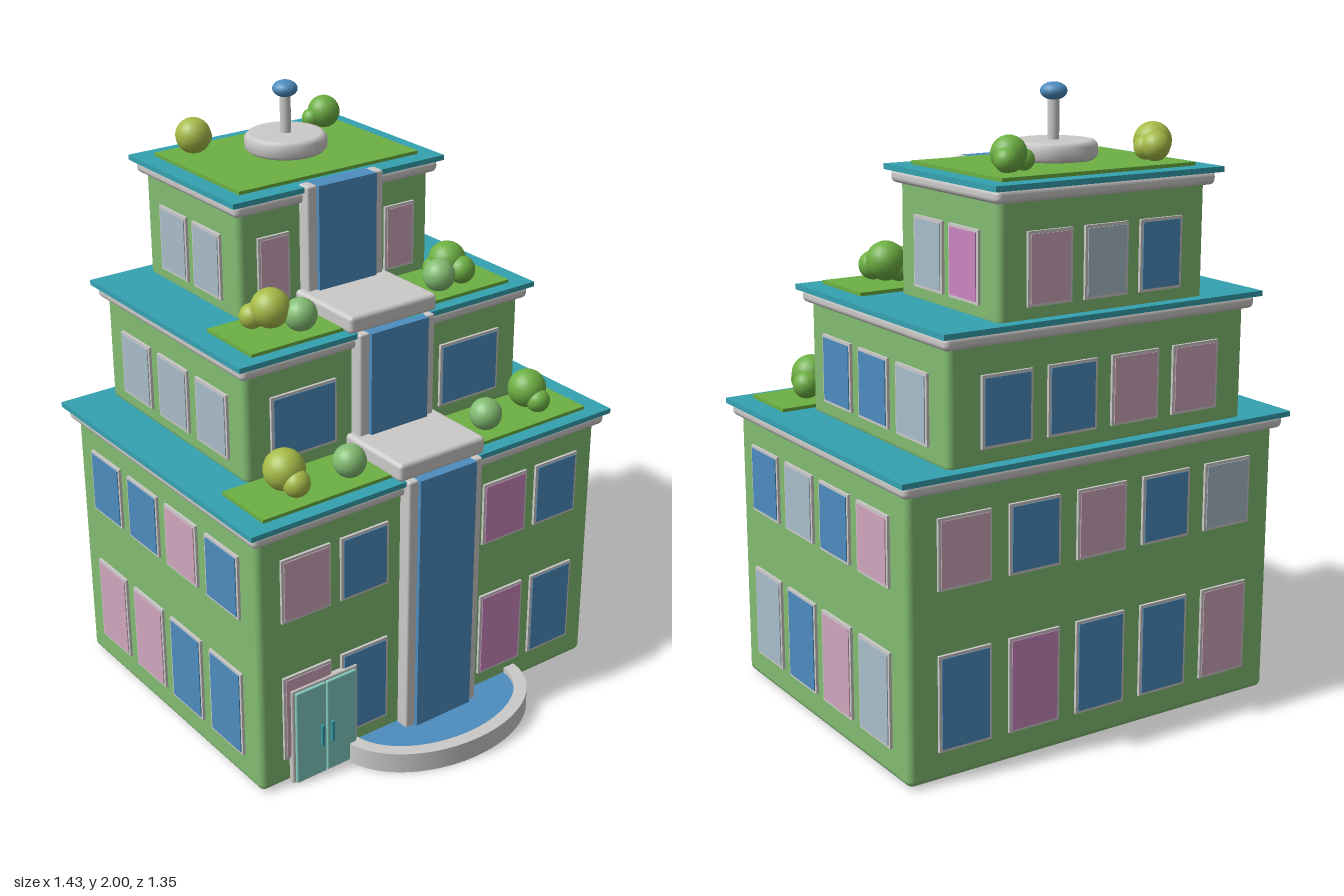
import * as THREE from 'three';
import { RoundedBoxGeometry } from 'three/addons/geometries/RoundedBoxGeometry.js';

const makeMaterial = (name, color) => {
  const m = new THREE.MeshStandardMaterial({ color });
  m.name = name;
  return m;
};

export function createModel() {
  const root = new THREE.Group();
  root.name = 'terracedBuilding';

  const wall = makeMaterial('wallGreen', 0x82bc72);
  const teal = makeMaterial('roofTeal', 0x35a2b0);
  const grass = makeMaterial('grassGreen', 0x6db043);
  const blue = makeMaterial('waterBlue', 0x4c8cbe);
  const pink = makeMaterial('palePink', 0xcfa6bd);
  const magenta = makeMaterial('brightPink', 0xcb86bf);
  const pale = makeMaterial('paleBlue', 0xa8bdca);
  const stone = makeMaterial('stoneGrey', 0xcbcac8);
  const mint = makeMaterial('doorMint', 0x82cbc0);
  const lime = makeMaterial('leafLime', 0xa6bb48);
  const glass = { b: blue, p: pink, m: magenta, w: pale };

  const add = (parent, name, geometry, material, x = 0, y = 0, z = 0) => {
    const mesh = new THREE.Mesh(geometry, material);
    mesh.name = name;
    mesh.position.set(x, y, z);
    parent.add(mesh);
    return mesh;
  };
  // Box given by its limits, with optional rounded edges
  const box = (name, material, [x0, x1], [y0, y1], [z0, z1], r = 0, parent = root) => {
    const s = [x1 - x0, y1 - y0, z1 - z0];
    const geo = r ? new RoundedBoxGeometry(...s, 3, r) : new THREE.BoxGeometry(...s);
    return add(parent, name, geo, material, (x0 + x1) / 2, (y0 + y1) / 2, (z0 + z1) / 2);
  };

  // Storeys: rounded walls, cornice, roof plate and lawn
  const tiers = [
    { w: 0.68, y: [0.005, 0.93], front: 0.425, roof: 0.95, lawn: [0.642, 0.19, 0.41] },
    { w: 0.542, y: [0.94, 1.33], front: 0.175, roof: 1.355, lawn: [0.505, -0.08, 0.165] },
    { w: 0.372, y: [1.34, 1.73], front: -0.095, roof: 1.75, lawn: [0.347, -0.615, -0.122] },
  ];
  const back = -0.637;
  for (const { w, y, front, roof, lawn } of tiers) {
    box('walls', wall, [-w, w], y, [back, front], 0.022);
    box('cornice', stone, [-w - 0.022, w + 0.022], [roof - 0.053, roof - 0.01], [back - 0.025, front + 0.024], 0.018);
    box('roofPlate', teal, [-w - 0.036, w + 0.036], [roof - 0.014, roof + 0.003], [back - 0.04, front + 0.034]);
    box('lawn', grass, [-lawn[0], lawn[0]], [roof, roof + 0.014], [lawn[1], lawn[2]]);
  }

  // Windows: each row lists pane colours from the viewer's left to right
  const windowRow = (name, turn, offset, y0, y1, width, places, colours) => {
    const side = new THREE.Group();
    side.name = name;
    side.rotation.y = turn;
    root.add(side);
    places.forEach((u, i) => {
      const h = width / 2;
      box('windowFrame', stone, [u - h, u + h], [y0, y1], [offset - 0.005, offset + 0.009], 0, side);
      box('windowPane', glass[colours[i]], [u - h + 0.009, u + h - 0.009], [y0 + 0.009, y1 - 0.009],
        [offset + 0.008, offset + 0.012], 0, side);
    });
  };
  const sides = {
    front: { turn: 0, rows: [
      [0, 0.1, 0.402, 0.182, [-0.507, -0.285, 0.285, 0.507], 'pbmb'],
      [0, 0.6, 0.82, 0.182, [-0.507, -0.285, 0.285, 0.507], 'pbmb'],
      [1, 1.0, 1.217, 0.245, [-0.33, 0.33], 'bb'],
      [2, 1.395, 1.613, 0.118, [-0.247, 0.247], 'pp']] },
    back: { turn: Math.PI, rows: [
      [0, 0.1, 0.402, 0.182, [-0.49, -0.245, 0, 0.245, 0.49], 'bmbbp'],
      [0, 0.6, 0.82, 0.182, [-0.49, -0.245, 0, 0.245, 0.49], 'pbpbw'],
      [1, 1.0, 1.217, 0.175, [-0.345, -0.115, 0.115, 0.345], 'bbpp'],
      [2, 1.395, 1.613, 0.155, [-0.2, 0, 0.2], 'pwb']] },
    right: { turn: Math.PI / 2, rows: [
      [0, 0.1, 0.402, 0.182, [-0.243, -0.01, 0.22, 0.452], 'wbpw'],
      [0, 0.6, 0.82, 0.182, [-0.243, -0.01, 0.22, 0.452], 'bwbp'],
      [1, 1.0, 1.217, 0.175, [0.002, 0.226, 0.45], 'bbw'],
      [2, 1.395, 1.613, 0.158, [0.27, 0.465], 'wm']] },
    left: { turn: -Math.PI / 2, rows: [
      [0, 0.1, 0.402, 0.182, [-0.452, -0.22, 0.01, 0.243], 'ppbb'],
      [0, 0.6, 0.82, 0.182, [-0.452, -0.22, 0.01, 0.243], 'bbpb'],
      [1, 1.0, 1.217, 0.175, [-0.45, -0.226, -0.002], 'www'],
      [2, 1.395, 1.613, 0.158, [-0.465, -0.27], 'ww']] },
  };
  for (const [side, { turn, rows }] of Object.entries(sides)) {
    for (const [t, y0, y1, width, places, colours] of rows) {
      const offset = side === 'front' ? tiers[t].front : side === 'back' ? -back : tiers[t].w;
      windowRow(side + 'Windows', turn, offset, y0, y1, width, places, colours);
    }
  }

  // Waterfall down the three fronts, framed by stone posts
  const falls = [[0.02, 0.955, 0.425], [0.955, 1.358, 0.175], [1.36, 1.758, -0.095]];
  for (const [y0, y1, z] of falls) {
    box('waterfall', blue, [-0.112, 0.112], [y0, y1], [z, z + 0.062]);
    for (const s of [-1, 1]) {
      box('waterfallPost', stone, [s * 0.128 - 0.019, s * 0.128 + 0.019], [y0, y1], [z, z + 0.05], 0.007);
    }
  }
  box('lowerSpout', stone, [-0.17, 0.17], [0.953, 1.014], [0.175, 0.458], 0.014);
  box('upperSpout', stone, [-0.17, 0.17], [1.357, 1.415], [-0.09, 0.207], 0.014);

  // Half-round pool
  const rim = new THREE.Shape();
  rim.absellipse(0, 0.42, 0.362, 0.256, 0, Math.PI, false);
  rim.absellipse(0, 0.42, 0.318, 0.212, Math.PI, 0, true);
  rim.closePath();
  const rimGeo = new THREE.ExtrudeGeometry(rim, { depth: 0.07, bevelEnabled: false, curveSegments: 40 });
  add(root, 'poolRim', rimGeo.rotateX(Math.PI / 2), stone, 0, 0.07, 0);
  const pond = new THREE.Shape();
  pond.absellipse(0, 0.42, 0.325, 0.218, 0, Math.PI, false);
  const pondGeo = new THREE.ExtrudeGeometry(pond, { depth: 0.04, bevelEnabled: false, curveSegments: 40 });
  add(root, 'poolWater', pondGeo.rotateX(Math.PI / 2), blue, 0, 0.052, 0);

  // Double door
  box('doorFrame', stone, [-0.575, -0.32], [0.004, 0.352], [0.42, 0.443], 0.006);
  for (const s of [-1, 1]) {
    const x = -0.4475 + s * 0.059;
    box('doorLeaf', mint, [x - 0.057, x + 0.057], [0.006, 0.342], [0.43, 0.452], 0.004);
    const hx = -0.4475 + s * 0.02;
    box('doorHandle', teal, [hx - 0.005, hx + 0.005], [0.115, 0.19], [0.45, 0.46]);
  }

  // Rooftop drum, mast and ball
  const r = 0.134;
  const drum = [[0, 1.762], [r - 0.012, 1.772], [r, 1.784], [r, 1.816], [r - 0.01, 1.828], [r - 0.02, 1.83], [0, 1.83]]
    .map(([x, y]) => new THREE.Vector2(x, y));
  add(root, 'roofDrum', new THREE.LatheGeometry(drum, 32), stone, 0, 0, -0.37);
  add(root, 'mast', new THREE.CylinderGeometry(0.018, 0.018, 0.14, 16), stone, 0, 1.89, -0.37);
  add(root, 'mastBall', new THREE.SphereGeometry(0.041, 20, 14), blue, 0, 1.973, -0.37).scale.y = 0.66;

  // Trees and bushes as clusters of balls: x, y, z, radius
  const plants = [
    ['limeTree', lime, [[-0.25, 1.825, -0.53, 0.058], [-0.225, 1.815, -0.575, 0.045], [-0.21, 1.81, -0.55, 0.037],
      [-0.347, 1.437, 0.035, 0.063], [-0.35, 1.41, -0.01, 0.045], [-0.393, 1.41, 0, 0.04],
      [-0.485, 1.035, 0.295, 0.066], [-0.445, 1.015, 0.26, 0.045], [-0.478, 1.008, 0.347, 0.044]]],
    ['greenTree', grass, [[0.262, 1.818, -0.523, 0.054], [0.29, 1.805, -0.553, 0.037], [0.218, 1.8, -0.533, 0.032],
      [0.347, 1.435, 0.038, 0.063], [0.363, 1.415, 0.092, 0.046], [0.31, 1.41, 0.02, 0.04],
      [0.483, 1.035, 0.3, 0.064], [0.52, 1.012, 0.262, 0.045], [0.487, 1.008, 0.35, 0.04]]],
    ['bush', wall, [-1, 1].flatMap(s => [[s * 0.273, 1.415, 0.088, 0.053], [s * 0.273, 1.016, 0.338, 0.053]])],
  ];
  for (const [name, material, balls] of plants) {
    for (const [x, y, z, radius] of balls) {
      add(root, name, new THREE.SphereGeometry(radius, 20, 14), material, x, y, z);
    }
  }
  return root;
}
